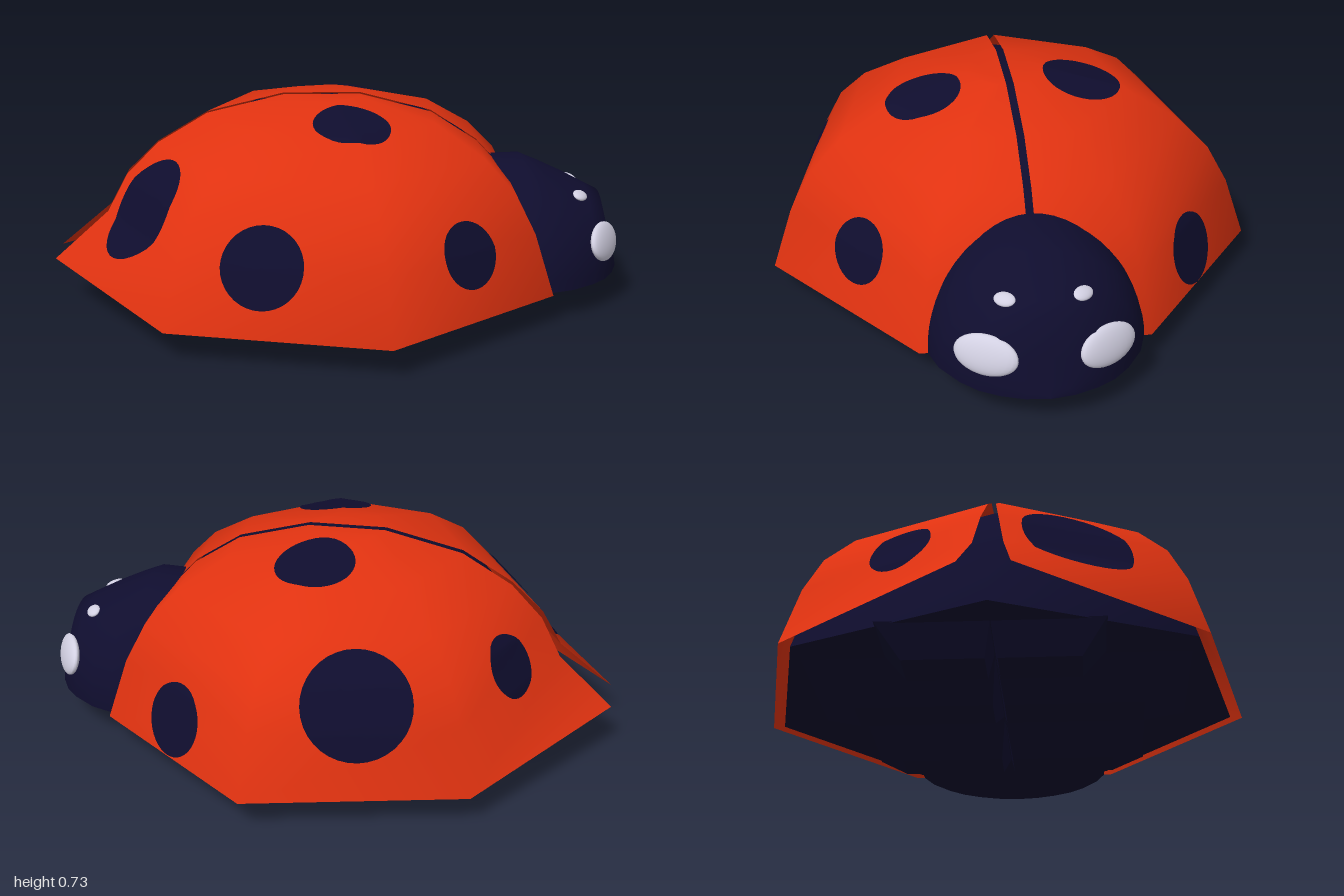
import * as THREE from 'three';

const red = new THREE.MeshStandardMaterial({ color: 0xe03210, side: THREE.DoubleSide });
red.name = 'shell red';
const navy = new THREE.MeshStandardMaterial({ color: 0x0f0d2e });
navy.name = 'dark navy';
const white = new THREE.MeshStandardMaterial({ color: 0xd2d0e2 });
white.name = 'pale lavender';

// Skin a stack of rings (arrays of [x, y, z]) with optional end caps
function loft(rings, { closed = false, startCap = false, endCap = false } = {}) {
  const n = rings[0].length;
  const pos = rings.flat(2);
  const index = [];
  for (let r = 0; r < rings.length - 1; r++) {
    for (let i = 0; i < (closed ? n : n - 1); i++) {
      const a = r * n + i, a1 = r * n + (i + 1) % n;
      index.push(a, a + n, a1, a1, a + n, a1 + n);
    }
  }
  if (startCap) {
    const k = pos.length / 3;
    pos.push(...rings[0].flat());
    for (let i = 1; i < n - 1; i++) index.push(k, k + i, k + i + 1);
  }
  if (endCap) {
    const k = (rings.length - 1) * n;
    for (let i = 1; i < n - 1; i++) index.push(k, k + i + 1, k + i);
  }
  const g = new THREE.BufferGeometry();
  g.setAttribute('position', new THREE.Float32BufferAttribute(pos, 3));
  g.setIndex(index);
  g.computeVertexNormals();
  return g;
}

const mirror = (ring) => ring.map(([x, y, z]) => [x, y, -z]).reverse();

function add(parent, name, geometry, material) {
  const m = new THREE.Mesh(geometry, material);
  m.name = name;
  parent.add(m);
  return m;
}

// Dome levels: [height, outline scale]
const LEVELS = [[0.1, 1], [0.31, 0.917], [0.44, 0.833], [0.55, 0.7], [0.655, 0.49], [0.72, 0.167]];
const CX = -0.05;
const OUTLINE = [[0.77, 0.38], [0.2, 0.84], [-0.52, 0.68]];
const GAP = 0.013;

// One wing case; its tail corner flares out at the bottom
function wingRings() {
  const tailZ = [0.08, 0.048, 0.028, GAP, GAP, GAP];
  return LEVELS.map(([y, s], i) => [
    [CX + 0.77 * s, y, GAP],
    ...OUTLINE.map(([x, z]) => [CX + x * s, y, z * s]),
    i === 0 ? [-1, 0.145, tailZ[0]] : [CX - 0.83 * s, y, tailZ[i]],
  ]);
}

// Dark body, an inset copy of the dome
function bodyRings() {
  return LEVELS.map(([y, s]) => {
    const k = s * 0.95;
    const half = OUTLINE.map(([x, z]) => [CX + x * k, 0.1 + (y - 0.1) * 0.95, z * k]);
    return [...half, [CX - 0.83 * k, half[0][1], 0], ...mirror(half)];
  });
}

// Head: half-ellipse sections [x, half width, height]
function headRings() {
  const sections = [[0.5, 0.34, 0.388], [0.65, 0.355, 0.392], [0.72, 0.353, 0.362], [0.8, 0.325, 0.325],
    [0.88, 0.268, 0.285], [0.93, 0.215, 0.26], [0.965, 0.152, 0.13], [0.99, 0.08, 0.04], [1, 0.001, 0.001]];
  return sections.map(([x, w, h]) => {
    const ring = [];
    for (let i = 0; i <= 28; i++) {
      const t = Math.PI * i / 28;
      ring.push([x, 0.1 + h * Math.sin(t), w * Math.cos(t)]);
    }
    ring.push([...ring[28]], [...ring[0]]); // separate flat underside
    return ring;
  });
}

// A round spot laid onto the shell along a direction
function spotGeometry(shell, centre, direction, radius) {
  const c = new THREE.Vector3(...centre);
  const d = new THREE.Vector3(...direction).normalize();
  const q = new THREE.Quaternion().setFromUnitVectors(new THREE.Vector3(0, 0, 1), d);
  const g = new THREE.RingGeometry(0, radius, 36, 9);
  const p = g.attributes.position;
  const ray = new THREE.Raycaster();
  const v = new THREE.Vector3();
  for (let i = 0; i < p.count; i++) {
    const offset = v.fromBufferAttribute(p, i).applyQuaternion(q).clone();
    for (let t = 1; t > 0; t -= 0.04) { // slide inwards at a shell edge
      ray.set(c.clone().addScaledVector(offset, t).addScaledVector(d, 0.6), d.clone().negate());
      const hit = ray.intersectObject(shell)[0];
      if (hit && hit.distance < 1) {
        const h = hit.point.addScaledVector(d, 0.006);
        p.setXYZ(i, h.x, h.y, h.z);
        break;
      }
    }
  }
  g.computeVertexNormals();
  return g;
}

export function createModel() {
  const model = new THREE.Group();
  model.name = 'ladybird';

  add(model, 'body', loft(bodyRings(), { closed: true, startCap: true, endCap: true }), navy);
  add(model, 'head', loft(headRings()), navy);

  // Wing cases
  const rings = wingRings();
  const leftShell = add(model, 'wingCaseNear', loft(rings, { endCap: true }), red);
  const rightShell = add(model, 'wingCaseFar', loft(rings.map(mirror), { endCap: true }), red);
  model.updateMatrixWorld(true);

  // Spots: [centre, facing direction, radius]
  const spots = [
    [[0.41, 0.305, 0.545], [0.63, 0.4, 0.78], 0.112],
    [[-0.25, 0.31, 0.665], [-0.217, 0.4, 0.976], 0.135],
    [[-0.65, 0.38, 0.27], [-0.91, 0.55, 0.41], 0.19],
    [[0.04, 0.67, 0.295], [0, 1, 0], 0.13],
    [[0.01, 0.68, -0.26], [0, 1, 0], 0.135],
    [[-0.2, 0.39, -0.665], [-0.217, 0.5, -0.976], 0.18],
    [[0.42, 0.225, -0.57], [0.63, 0.3, -0.78], 0.125],
    [[-0.645, 0.375, -0.285], [-0.91, 0.5, -0.41], 0.11],
  ];
  for (const [c, d, r] of spots) {
    add(model, 'spot', spotGeometry(c[2] > 0 ? leftShell : rightShell, c, d, r), navy);
  }

  // Stubby legs: [base x range, foot x range, base z, foot z]
  const legs = [
    [[0.1, 0.54], [0.25, 0.39], 0.5, 0.38],
    [[-0.45, 0.1], [-0.26, -0.1], 0.64, 0.48],
    [[-0.7, -0.45], [-0.64, -0.48], 0.36, 0.28],
  ];
  const quad = (y, [x0, x1], z0, z1) => [[x1, y, z0], [x1, y, z1], [x0, y, z1], [x0, y, z0]];
  for (const [base, foot, zBase, zFoot] of legs) {
    const leg = [quad(0, foot, 0.02, zFoot), quad(0.105, base, 0, zBase)];
    for (const r of [leg, leg.map(mirror)]) {
      const g = loft(r, { closed: true, startCap: true }).toNonIndexed();
      g.computeVertexNormals();
      add(model, 'leg', g, navy);
    }
  }

  // Eyes and small brow marks
  const marks = [
    ['eye', [0.922, 0.23, 0.19], [0.82, 0.3, 0.47], [0.108, 0.066, 0.025]],
    ['browMark', [0.845, 0.376, 0.122], [0.4, 0.88, 0.25], [0.036, 0.025, 0.012]],
  ];
  for (const side of [1, -1]) {
    for (const [name, p, n, s] of marks) {
      const m = add(model, name, new THREE.SphereGeometry(1, 24, 16), white);
      m.position.set(p[0], p[1], p[2] * side);
      m.lookAt(p[0] + n[0], p[1] + n[1], (p[2] + n[2]) * side);
      m.scale.set(...s);
    }
  }
  return model;
}
